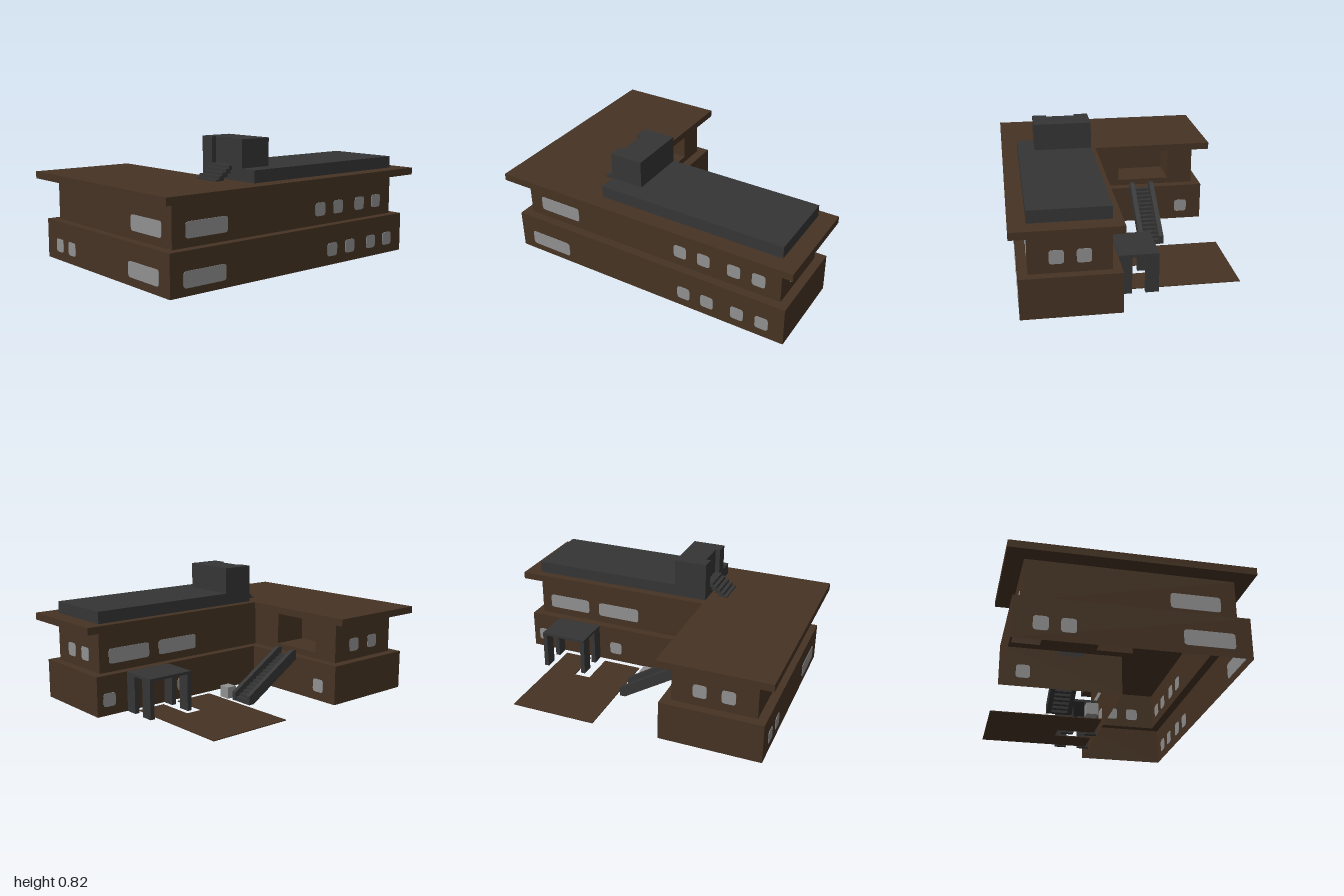
import * as THREE from 'three';

const brown = new THREE.MeshStandardMaterial({ color: 0x463323, side: THREE.DoubleSide });
brown.name = 'brown cladding';
const dark = new THREE.MeshStandardMaterial({ color: 0x353535 });
dark.name = 'dark metal';
const grey = new THREE.MeshStandardMaterial({ color: 0x909090 });
grey.name = 'pale grey';

export function createModel() {
  const model = new THREE.Group();
  model.name = 'building';

  function add(name, geometry, material, parent = model) {
    const mesh = new THREE.Mesh(geometry, material);
    mesh.name = name;
    parent.add(mesh);
    return mesh;
  }
  function group(name) {
    const g = new THREE.Group();
    g.name = name;
    model.add(g);
    return g;
  }
  // box from its limits on each axis
  function box(name, x0, x1, y0, y1, z0, z1, material, parent) {
    const g = new THREE.BoxGeometry(x1 - x0, y1 - y0, z1 - z0);
    g.translate((x0 + x1) / 2, (y0 + y1) / 2, (z0 + z1) / 2);
    return add(name, g, material, parent);
  }
  const outline = (pts) => new THREE.Shape(pts.map(([a, b]) => new THREE.Vector2(a, b)));
  // slab with a plan outline of [x, z] points
  function slab(name, pts, y0, y1, material) {
    const g = new THREE.ExtrudeGeometry(outline(pts), { depth: y1 - y0, bevelEnabled: false });
    g.rotateX(Math.PI / 2).translate(0, y1, 0);
    return add(name, g, material);
  }
  // open shell of upright walls round a plan outline
  function walls(name, pts, y0, y1) {
    const pos = [];
    pts.forEach(([ax, az], i) => {
      const [bx, bz] = pts[(i + 1) % pts.length];
      pos.push(ax, y0, az, bx, y1, bz, bx, y0, bz);
      pos.push(ax, y0, az, ax, y1, az, bx, y1, bz);
    });
    const g = new THREE.BufferGeometry();
    g.setAttribute('position', new THREE.Float32BufferAttribute(pos, 3));
    g.computeVertexNormals();
    return add(name, g, brown);
  }

  // two storeys, hollow and open underneath; the upper one has a porch recess
  const lower = [[-0.95, 0.665], [0.95, 0.665], [0.95, 0.083], [-0.31, 0.083],
    [-0.31, -0.665], [-0.95, -0.665]];
  const upper = [[-0.895, 0.61], [0.895, 0.61], [0.895, 0.137], [-0.37, 0.137],
    [-0.37, -0.09], [-0.6, -0.09], [-0.6, -0.435], [-0.37, -0.435],
    [-0.37, -0.607], [-0.895, -0.607]];
  walls('lowerWalls', lower, 0.02, 0.27);
  walls('upperWalls', upper, 0.27, 0.53);
  const ledgeShape = outline(lower);
  ledgeShape.holes.push(outline(upper));
  add('ledge', new THREE.ShapeGeometry(ledgeShape).rotateX(Math.PI / 2).translate(0, 0.27, 0), brown);
  box('porchFloor', -0.6, -0.37, 0.27, 0.31, -0.435, -0.09, brown);
  slab('roof', [[-1, 0.71], [1, 0.71], [1, 0.08], [-0.31, 0.08], [-0.31, -0.71], [-1, -0.71]],
    0.53, 0.575, brown);

  // windows: thin rounded panels set through the walls
  const windows = group('windows');
  function pane(axis, along, y, at, width = 0.085) {
    const w = width / 2, h = width > 0.1 ? 0.047 : 0.042, r = 0.02;
    const s = new THREE.Shape();
    s.moveTo(-w + r, -h);
    s.lineTo(w - r, -h).quadraticCurveTo(w, -h, w, -h + r);
    s.lineTo(w, h - r).quadraticCurveTo(w, h, w - r, h);
    s.lineTo(-w + r, h).quadraticCurveTo(-w, h, -w, h - r);
    s.lineTo(-w, -h + r).quadraticCurveTo(-w, -h, -w + r, -h);
    const g = new THREE.ExtrudeGeometry(s, { depth: 0.006, bevelEnabled: false, curveSegments: 4 });
    g.translate(0, 0, -0.003);
    if (axis === 'x') g.rotateY(Math.PI / 2).translate(at, y, along);
    else g.translate(along, y, at);
    add('window', g, grey, windows);
  }
  const LOW = 0.117, HIGH = 0.367, LONG = 0.295;
  // front
  for (const x of [0.29, 0.45, 0.65, 0.81]) {
    pane('z', x, LOW, 0.665);
    pane('z', x - 0.055, HIGH, 0.61);
  }
  pane('z', -0.713, LOW - 0.005, 0.665, LONG);
  pane('z', -0.657, HIGH, 0.61, LONG);
  // side of the long wing
  pane('x', 0.42, LOW, -0.95, LONG);
  pane('x', 0.37, HIGH, -0.895, LONG);
  for (const z of [-0.51, -0.36]) pane('x', z, LOW, -0.95);
  // end walls
  for (const z of [0.45, 0.295]) pane('x', z, HIGH, 0.895);
  for (const x of [-0.545, -0.72]) pane('z', x, HIGH, -0.607);
  // courtyard
  for (const x of [0.31, 0.865]) pane('z', x, LOW, 0.083);
  for (const x of [0.31, 0.68]) pane('z', x, HIGH, 0.137, LONG);
  pane('x', -0.522, LOW, -0.31);

  // raised roof block and notched tower with its short steps
  box('roofBlock', -0.31, 0.893, 0.575, 0.65, 0.135, 0.608, dark);
  slab('tower', [[-0.31, 0.135], [-0.1, 0.135], [-0.1, 0.5], [-0.31, 0.5], [-0.31, 0.41],
    [-0.28, 0.41], [-0.28, 0.225], [-0.31, 0.225]], 0.65, 0.82, dark);
  const roofSteps = group('roofSteps');
  for (let i = 0; i < 5; i++) {
    const x = -0.43 + i * 0.025, top = 0.585 + i * 0.019;
    box('step', x, i === 4 ? -0.28 : x + 0.035, Math.max(0.575, top - 0.028), top,
      0.225, 0.41, dark, roofSteps);
  }

  // courtyard staircase with sloping side rails
  const stairs = group('stairs');
  const count = 14, run = 0.4 / count, rise = 0.24 / count;
  for (let i = 0; i < count; i++) {
    const x = -0.31 + i * run, top = 0.27 - i * rise;
    box('tread', x, x + run, top - 0.03, top, -0.29, -0.188, dark, stairs);
  }
  const rail = outline([[-0.31, 0.25], [0.06, 0.02], [0.097, 0.02], [0.097, 0.075],
    [-0.28, 0.313], [-0.31, 0.313]]);
  for (const z of [-0.32, -0.188]) {
    const g = new THREE.ExtrudeGeometry(rail, { depth: 0.03, bevelEnabled: false });
    add('stairRail', g.translate(0, 0, z), dark, stairs);
  }

  // canopy on four legs
  const canopy = group('canopy');
  box('canopyTop', 0.43, 0.738, 0.253, 0.27, -0.16, 0.08, dark, canopy);
  for (const x of [0.43, 0.708]) {
    for (const z of [-0.16, 0.0]) box('canopyLeg', x, x + 0.03, 0.02, 0.253, z, z + 0.08, dark, canopy);
  }

  // courtyard paving and a small block
  slab('paving', [[0.12, 0.05], [0.12, -0.672], [0.677, -0.672], [0.677, 0.05],
    [0.49, 0.05], [0.49, -0.195], [0.38, -0.195], [0.38, 0.05]], 0.015, 0.02, brown);
  box('smallBlock', -0.005, 0.065, 0, 0.075, -0.075, 0, grey);

  return model;
}
